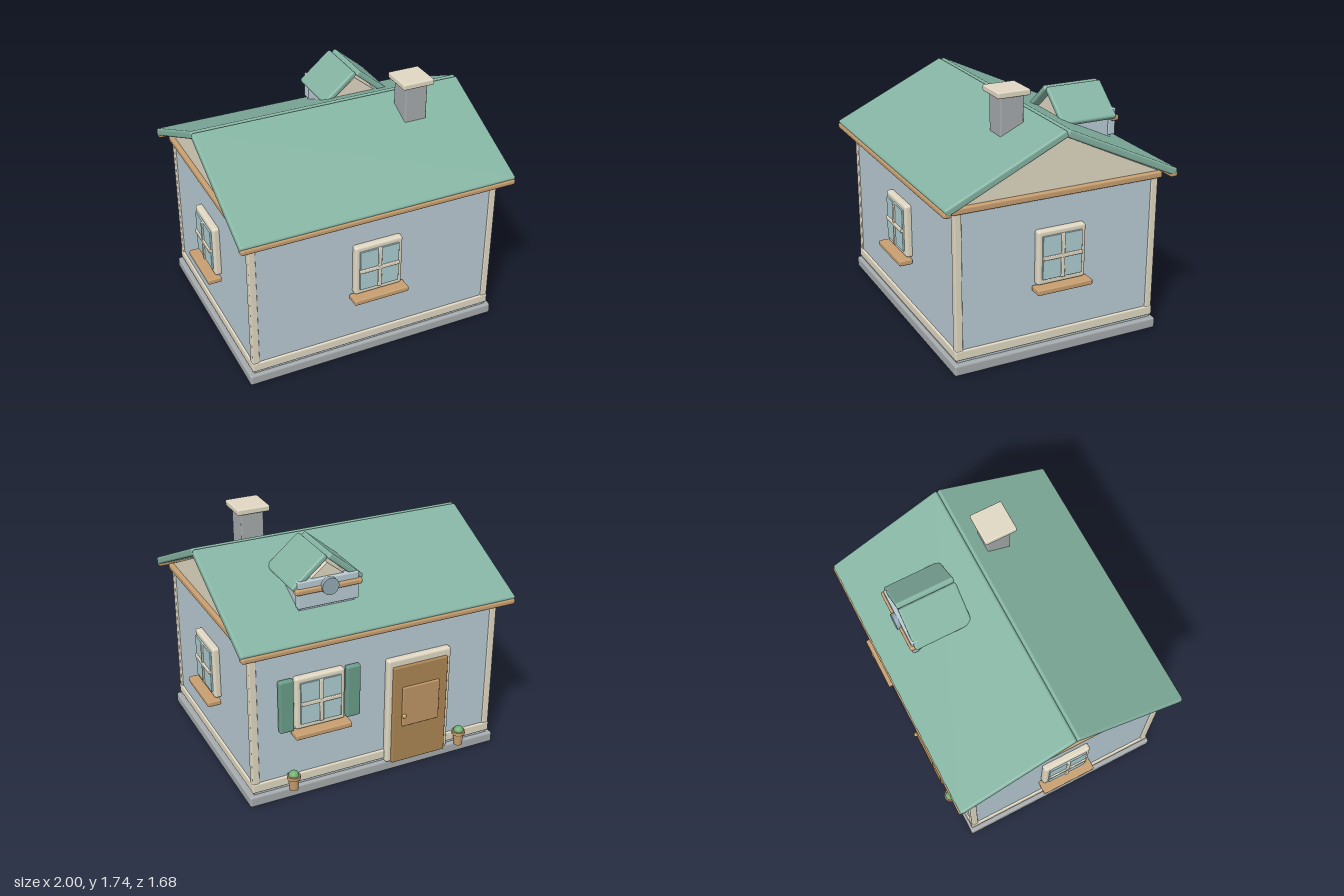
import * as THREE from 'three';
import { RoundedBoxGeometry } from 'three/addons/geometries/RoundedBoxGeometry.js';

const mat = (color) => new THREE.MeshStandardMaterial({ color });
const M = {
  wall: mat(0xb9cad3), cream: mat(0xe0d8c3), wood: mat(0xc79f70), roof: mat(0x84b3a2),
  stone: mat(0xa5aaac), glass: mat(0xaccdd1), door: mat(0xab8453), panel: mat(0xbd9566),
  shutter: mat(0x6a9c88), leaf: mat(0x6fae72), brass: mat(0xc9a45c), roundGlass: mat(0x93aab5),
};

function add(parent, name, geometry, material, x = 0, y = 0, z = 0) {
  const mesh = new THREE.Mesh(geometry, material);
  mesh.name = name;
  mesh.position.set(x, y, z);
  parent.add(mesh);
  return mesh;
}

function group(parent, name, x = 0, y = 0, z = 0) {
  const g = new THREE.Group();
  g.name = name;
  g.position.set(x, y, z);
  parent.add(g);
  return g;
}

// Softly rounded box given by its extents on each axis
function block(parent, name, material, [x0, x1], [y0, y1], [z0, z1], r = 0.01) {
  const w = x1 - x0, h = y1 - y0, d = z1 - z0;
  const radius = Math.min(r, Math.min(w, h, d) * 0.45);
  return add(parent, name, new RoundedBoxGeometry(w, h, d, 3, radius), material,
    (x0 + x1) / 2, (y0 + y1) / 2, (z0 + z1) / 2);
}

// Triangular prism running along z from 0 to depth
function gable(halfWidth, height, depth) {
  const s = new THREE.Shape();
  s.moveTo(-halfWidth, 0);
  s.lineTo(halfWidth, 0);
  s.lineTo(0, height);
  s.closePath();
  return new THREE.ExtrudeGeometry(s, { depth, bevelEnabled: false });
}

// Two sloping slabs, ridge along z; each top edge starts at x = gap, y = 0
function pitchedRoof(parent, name, gap, length, thickness, depth, angle) {
  for (const side of [-1, 1]) {
    const pivot = group(parent, name, side * gap, 0, 0);
    pivot.rotation.z = -side * angle;
    block(pivot, name + 'Slab', M.roof, side > 0 ? [0, length] : [-length, 0],
      [-thickness, 0], [-depth / 2, depth / 2], 0.015);
  }
}

// Window facing local +z, with the wall face at z = 0
function makeWindow(parent, name, x, z, turn) {
  const g = group(parent, name, x, 0, z);
  g.rotation.y = turn;
  block(g, 'windowFrame', M.cream, [-0.175, 0.175], [0.522, 0.9], [-0.02, 0.036], 0.018);
  block(g, 'windowGlass', M.glass, [-0.143, 0.143], [0.562, 0.864], [0.03, 0.048], 0.004);
  block(g, 'uprightBar', M.cream, [-0.013, 0.013], [0.562, 0.864], [0.03, 0.058], 0.006);
  block(g, 'crossBar', M.cream, [-0.143, 0.143], [0.7, 0.726], [0.03, 0.06], 0.006);
  block(g, 'windowSill', M.wood, [-0.2, 0.2], [0.482, 0.52], [0, 0.097], 0.009);
  return g;
}

function makePot(parent, x) {
  const g = group(parent, 'flowerPot', x, 0.08, -0.777);
  const profile = [[0, 0], [0.029, 0], [0.038, 0.085], [0.046, 0.085], [0.046, 0.108], [0.036, 0.108], [0.034, 0.095], [0, 0.095]]
    .map(([r, y]) => new THREE.Vector2(r, y));
  const pot = add(g, 'pot', new THREE.LatheGeometry(profile, 20).toNonIndexed(), M.wood);
  pot.geometry.computeVertexNormals();
  const plant = add(g, 'plant', new THREE.SphereGeometry(0.036, 16, 12), M.leaf, 0, 0.11, 0);
  plant.scale.y = 0.9;
}

export function createModel() {
  const house = new THREE.Group();
  house.name = 'cottage';

  // Foundation, walls, skirting and corner posts
  block(house, 'foundation', M.stone, [-0.93, 0.93], [0, 0.078], [-0.755, 0.755], 0.015);
  block(house, 'walls', M.wall, [-0.893, 0.893], [0.06, 1.12], [-0.727, 0.727], 0.004);
  block(house, 'skirting', M.cream, [-0.906, 0.906], [0.094, 0.165], [-0.74, 0.74], 0.012);
  for (const sx of [-1, 1]) for (const sz of [-1, 1]) {
    add(house, 'cornerPost', new RoundedBoxGeometry(0.05, 1.0, 0.05, 3, 0.008), M.cream,
      sx * 0.878, 0.61, sz * 0.71);
  }
  block(house, 'topBeam', M.wood, [-0.92, 0.92], [1.105, 1.15], [-0.757, 0.757], 0.012);

  // Gable filling under the roof
  const attic = add(house, 'gable', gable(0.745, 0.355, 1.78), M.cream, -0.89, 1.148, 0);
  attic.rotation.y = Math.PI / 2;

  // Main roof and eave boards
  const roof = group(house, 'roof', 0, 1.565, 0);
  roof.rotation.y = Math.PI / 2;
  pitchedRoof(roof, 'mainRoof', 0.01, 0.912, 0.052, 1.97, 0.44);
  for (const s of [-1, 1]) {
    add(house, 'eaveBoard', new RoundedBoxGeometry(1.966, 0.045, 0.06, 3, 0.018), M.wood, 0, 1.143, s * 0.808);
  }

  // Chimney
  block(house, 'chimney', M.stone, [0.435, 0.597], [1.3, 1.71], [0.107, 0.272], 0.008);
  block(house, 'chimneyCap', M.cream, [0.4, 0.63], [1.7, 1.742], [0.075, 0.305], 0.01);

  // Windows on the front, sides and back
  makeWindow(house, 'frontWindow', 0, 0.735, 0);
  makeWindow(house, 'leftWindow', 0.903, 0, Math.PI / 2);
  makeWindow(house, 'rightWindow', -0.903, 0, -Math.PI / 2);
  const back = makeWindow(house, 'backWindow', 0.43, -0.735, Math.PI);
  for (const s of [-1, 1]) {
    add(back, 'shutter', new RoundedBoxGeometry(0.1, 0.376, 0.045, 3, 0.012), M.shutter, s * 0.237, 0.711, 0.018);
  }

  // Back door
  const door = group(house, 'door', -0.3, 0, -0.735);
  door.rotation.y = Math.PI;
  block(door, 'doorFrame', M.cream, [-0.24, 0.24], [0.075, 0.868], [-0.02, 0.036], 0.018);
  block(door, 'doorLeaf', M.door, [-0.205, 0.205], [0.078, 0.815], [0.02, 0.058], 0.008);
  block(door, 'doorPanel', M.panel, [-0.14, 0.14], [0.36, 0.66], [0.04, 0.072], 0.008);
  add(door, 'doorKnob', new THREE.SphereGeometry(0.016, 16, 12), M.brass, -0.13, 0.445, 0.076);

  // Flower pots either side of the back wall
  for (const x of [-0.63, 0.63]) makePot(house, x);

  // Dormer on the back slope, built facing local +z
  const dormer = group(house, 'dormer', 0.304, 0, -0.41);
  dormer.rotation.y = Math.PI;
  block(dormer, 'dormerWalls', M.wall, [-0.2, 0.2], [1.26, 1.43], [-0.18, 0.195], 0.005);
  block(dormer, 'dormerFront', M.wall, [-0.212, 0.212], [1.305, 1.49], [0.17, 0.222], 0.008);
  block(dormer, 'dormerBoard', M.wood, [-0.232, 0.232], [1.405, 1.445], [0.18, 0.238], 0.014);
  add(dormer, 'dormerGable', gable(0.2, 0.16, 0.37), M.cream, 0, 1.42, -0.175);
  const dormerRoof = group(dormer, 'dormerRoof', 0, 1.645, 0);
  pitchedRoof(dormerRoof, 'dormerSlope', 0.022, 0.305, 0.042, 0.415, 0.7);
  const disc = add(dormer, 'roundWindow', new THREE.CylinderGeometry(0.058, 0.058, 0.03, 28), M.roundGlass, 0, 1.437, 0.235);
  disc.rotation.x = Math.PI / 2;

  return house;
}
